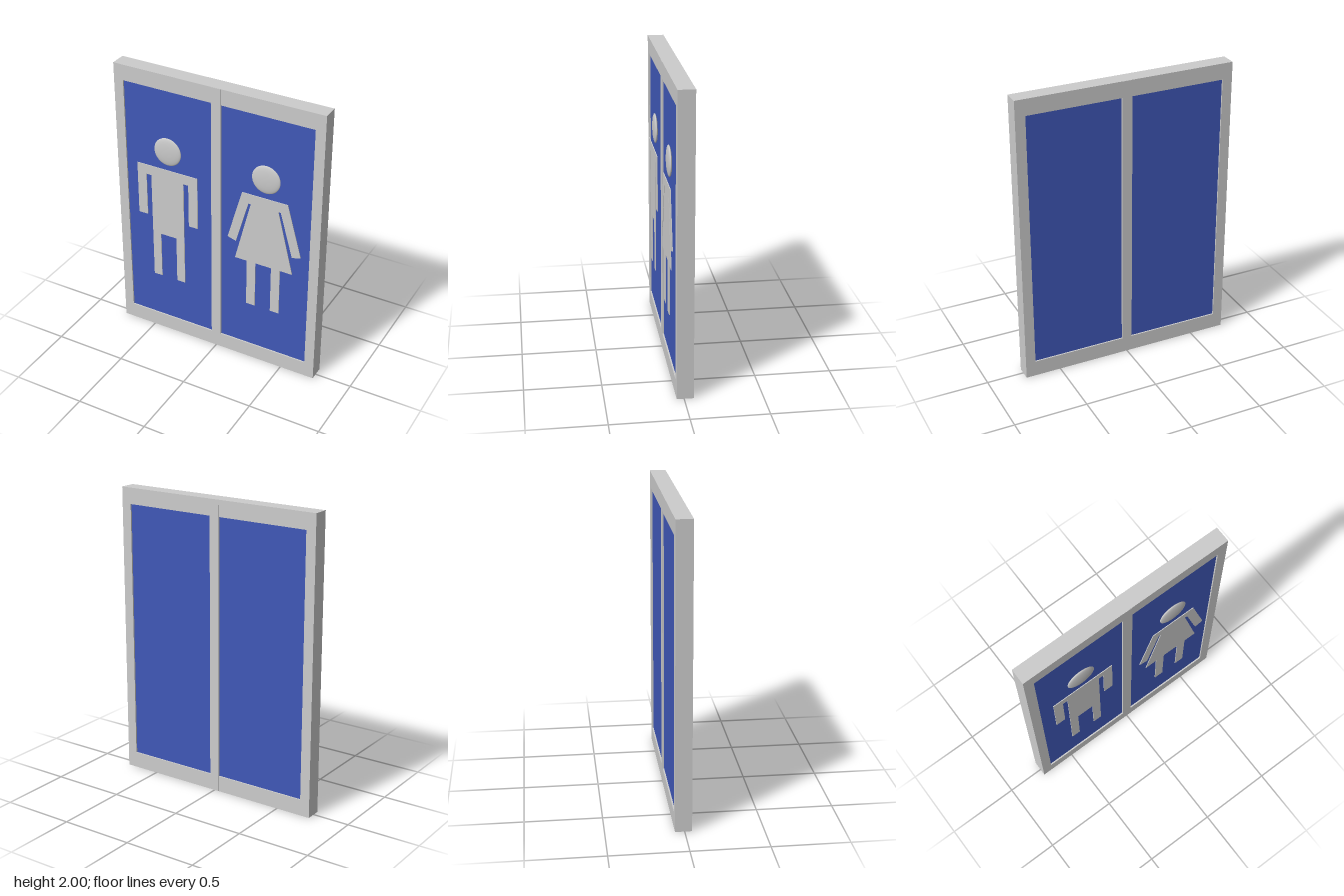
import * as THREE from 'three';

const grey = new THREE.MeshStandardMaterial({ color: 0xcccccc });
const blue = new THREE.MeshStandardMaterial({ color: 0x4058b8 });

const BACK = -0.061, FRONT = 0.047; // frame depth
const RECESS = 0.01;
const FIGURE_Z = 0.056, FIGURE_DEPTH = 0.005;

function add(parent, name, geometry, material = grey) {
  const mesh = new THREE.Mesh(geometry, material);
  mesh.name = name;
  parent.add(mesh);
  return mesh;
}

function box(x0, x1, y0, y1, z0, z1) {
  return new THREE.BoxGeometry(x1 - x0, y1 - y0, z1 - z0)
    .translate((x0 + x1) / 2, (y0 + y1) / 2, (z0 + z1) / 2);
}

// Closed shape from the +x half of an outline, mirrored across x = 0
function mirroredPlate(half) {
  const left = half.map(([x, y]) => [-x, y]).reverse();
  const points = [...half, ...left].map(([x, y]) => new THREE.Vector2(x, y));
  return new THREE.ExtrudeGeometry(new THREE.Shape(points), {
    depth: FIGURE_DEPTH, bevelEnabled: false,
  });
}

// Pictogram: flat body plate and a domed head
function figure(name, x, half) {
  const group = new THREE.Group();
  group.name = name;
  group.position.x = x;
  add(group, 'body', mirroredPlate(half)).position.z = FIGURE_Z;
  const head = add(group, 'head', new THREE.SphereGeometry(0.1, 40, 24));
  head.scale.z = 0.16;
  head.position.set(0, 1.45, 0.0455);
  return group;
}

export function createModel() {
  const model = new THREE.Group();
  model.name = 'restroomSign';

  // Outer frame
  const outline = new THREE.Shape([[-0.745, 0], [0.745, 0], [0.745, 2], [-0.745, 2]]
    .map(([x, y]) => new THREE.Vector2(x, y)));
  outline.holes.push(new THREE.Path([[-0.677, 0.11], [-0.677, 1.89], [0.677, 1.89], [0.677, 0.11]]
    .map(([x, y]) => new THREE.Vector2(x, y))));
  const frame = new THREE.ExtrudeGeometry(outline, { depth: FRONT - BACK, bevelEnabled: false });
  add(model, 'frame', frame.translate(0, 0, BACK));

  // Centre post, standing slightly proud of the frame
  add(model, 'centrePost', box(-0.035, 0.035, 0.001, 1.999, BACK - 0.001, FRONT + 0.001));

  // Recessed panels
  for (const side of [-1, 1]) {
    const panel = box(-0.322, 0.322, 0.11, 1.89, BACK + RECESS, FRONT - RECESS);
    add(model, side < 0 ? 'rightPanel' : 'leftPanel', panel, blue).position.x = side * 0.356;
  }

  // Man: square shoulders, straight arms and legs
  model.add(figure('man', -0.358, [
    [0.06, 0.805], [0.06, 0.46], [0.122, 0.46], [0.122, 1.25], [0.159, 1.25],
    [0.159, 0.935], [0.227, 0.935], [0.227, 1.32],
  ]));

  // Woman: slanted arms and a flared dress
  model.add(figure('woman', 0.358, [
    [0.057, 0.805], [0.057, 0.46], [0.121, 0.46], [0.121, 0.805], [0.208, 0.805],
    [0.098, 1.25], [0.115, 1.25], [0.203, 0.935], [0.264, 0.953], [0.162, 1.32],
  ]));

  return model;
}
